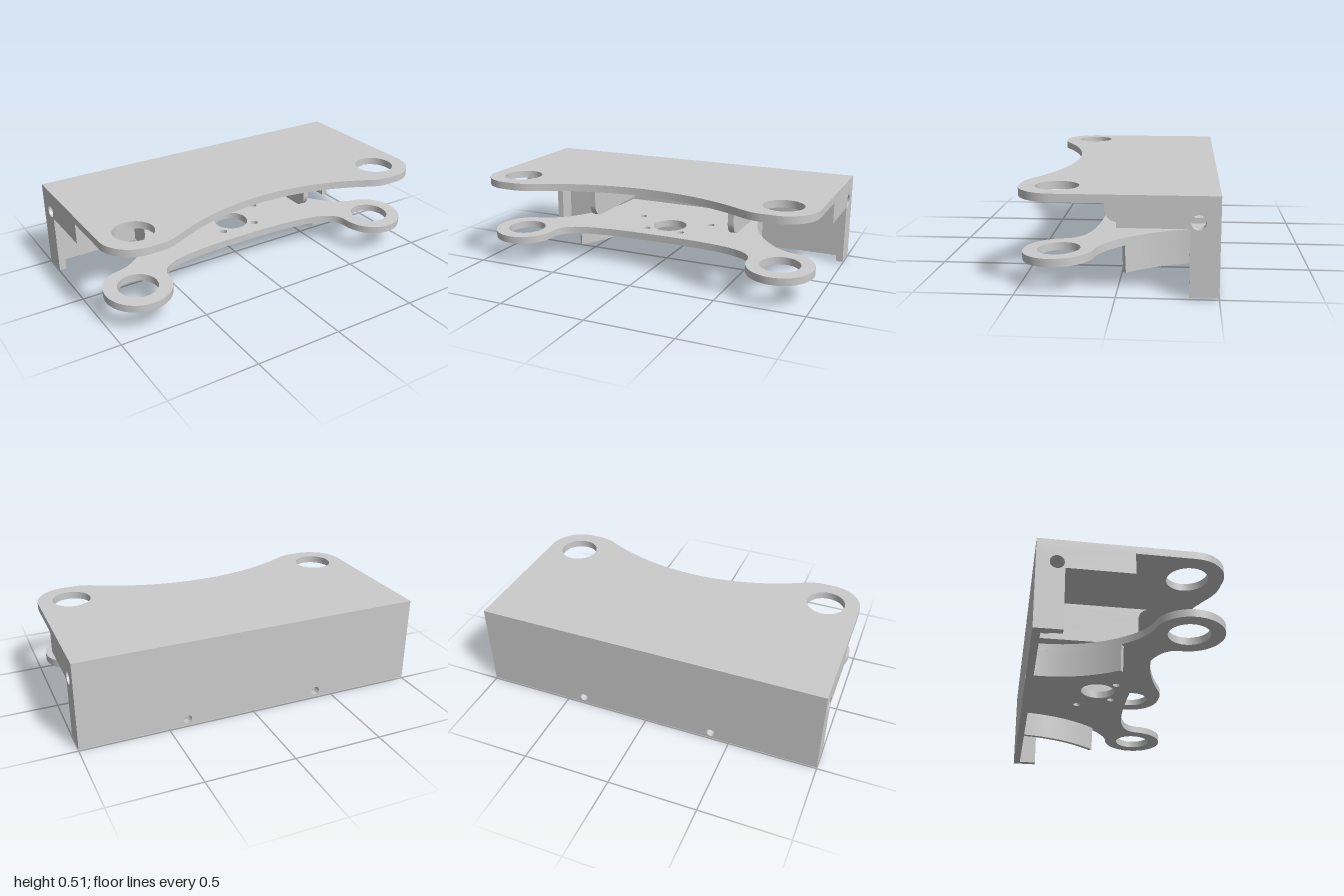
import * as THREE from 'three';
import { toCreasedNormals } from 'three/addons/utils/BufferGeometryUtils.js';

const V = (x, y) => new THREE.Vector2(x, y);
const material = new THREE.MeshStandardMaterial({ color: 0xcccccc });

function circle(x, y, r) {
  return new THREE.Path().absarc(x, y, r, 0, Math.PI * 2, false);
}

function extrude(shape, depth) {
  return new THREE.ExtrudeGeometry(shape, { depth, bevelEnabled: false, curveSegments: 20 });
}

function part(name, geometry, x = 0, y = 0, z = 0) {
  const mesh = new THREE.Mesh(toCreasedNormals(geometry, 0.5), material);
  mesh.name = name;
  mesh.position.set(x, y, z);
  return mesh;
}

// Shape drawn in (x, z), thickness hanging down from y = 0
const slab = (shape, thickness) => extrude(shape, thickness).rotateX(Math.PI / 2);

// Shape drawn in (z, y), thickness running towards -x
const panel = (shape, thickness) => extrude(shape, thickness).rotateY(-Math.PI / 2);

// Closed outline from its +x half
function mirrored(half) {
  const other = half.map(p => V(-p.x, p.y)).reverse();
  return new THREE.Shape([...half, ...other]);
}

function createTopPlate() {
  // Concave front edge, then the rounded front corner
  const half = new THREE.Path();
  half.absarc(0, 1.625, 1.32, -Math.PI / 2, -Math.PI / 2 + 0.5, false);
  half.quadraticCurveTo(0.69, 0.497, 0.75, 0.497);
  half.lineTo(0.81, 0.497);
  half.absarc(0.81, 0.307, 0.19, Math.PI / 2, 0, true);
  half.lineTo(1, -0.5);
  const shape = mirrored(half.getPoints(20).filter(p => p.x > 0.001));
  for (const s of [-1, 1]) shape.holes.push(circle(s * 0.805, 0.305, 0.11));
  return part('topPlate', slab(shape, 0.042), 0, 0.51, 0);
}

function createBackWall() {
  const shape = new THREE.Shape([V(-0.96, 0.01), V(0.96, 0.01), V(0.96, 0.468), V(-0.96, 0.468)]);
  for (const s of [-1, 1]) shape.holes.push(circle(s * 0.395, 0.047, 0.024));
  return part('backWall', extrude(shape, 0.04), 0, 0, -0.5);
}

function createSideWall(s) {
  // Stepped end cheek with a cable hole
  const shape = new THREE.Shape([
    V(-0.5, 0.01), V(-0.355, 0.01), V(-0.355, 0.35), V(-0.005, 0.35), V(-0.005, 0.468), V(-0.5, 0.468)
  ]);
  shape.holes.push(circle(-0.395, 0.382, 0.037));
  return part('sideWall', panel(shape, 0.04), s > 0 ? 1 : -0.96, 0, 0);
}

function createRib(s) {
  // Rounded front end, and a round notch against the back wall
  const shape = new THREE.Shape();
  shape.moveTo(-0.46, 0.468);
  shape.lineTo(-0.46, 0.435);
  shape.absarc(-0.41, 0.36, 0.09, 2.159, -2.159, true);
  shape.lineTo(-0.46, 0.24);
  shape.lineTo(0.04, 0.24);
  shape.absarc(0.04, 0.31, 0.07, -Math.PI / 2, 0, false);
  shape.lineTo(0.11, 0.403);
  shape.absarc(0.175, 0.403, 0.065, Math.PI, Math.PI / 2, true);
  return part('supportRib', panel(shape, 0.035), s > 0 ? 0.465 : -0.43, 0, 0);
}

function createLowerBracket() {
  const group = new THREE.Group();
  group.name = 'lowerBracket';
  const flank = new THREE.CubicBezierCurve(V(0.84, 0.125), V(0.68, 0.11), V(0.46, -0.15), V(0.46, -0.46));

  // Plate: concave front, round ear, curved flank
  const half = new THREE.Path();
  half.moveTo(0, 0.14);
  half.bezierCurveTo(0.4, 0.14, 0.615, 0.17, 0.615, 0.305);
  half.absarc(0.8, 0.305, 0.185, Math.PI, -1.352, true);
  half.curves.push(flank);
  const shape = mirrored(half.getPoints(24).filter(p => p.x > 0.001));
  shape.holes.push(circle(0, -0.05, 0.1));
  for (const s of [-1, 1]) {
    shape.holes.push(circle(s * 0.8, 0.305, 0.11));
    shape.holes.push(circle(s * 0.11, 0.045, 0.021), circle(s * 0.23, -0.15, 0.021));
  }
  group.add(part('lowerPlate', slab(shape, 0.042)));

  // Skirts under the flanks
  const outer = [], inner = [];
  for (let i = 0; i <= 16; i++) {
    const t = 0.43 + 0.57 * i / 16;
    const p = flank.getPoint(t), d = flank.getTangent(t);
    outer.push(p);
    inner.unshift(V(p.x + d.y * 0.025, p.y - d.x * 0.025));
  }
  for (const s of [-1, 1]) {
    const outline = [...outer, ...inner].map(p => V(s * p.x, p.y));
    group.add(part('skirt', slab(new THREE.Shape(outline), 0.151), 0, -0.042, 0));
  }

  // Slight forward droop
  group.rotation.x = 0.034;
  group.position.y = 0.195;
  return group;
}

export function createModel() {
  const model = new THREE.Group();
  model.name = 'mountingBracket';
  model.add(createTopPlate(), createBackWall(), createLowerBracket());
  for (const s of [-1, 1]) model.add(createSideWall(s), createRib(s));
  return model;
}
